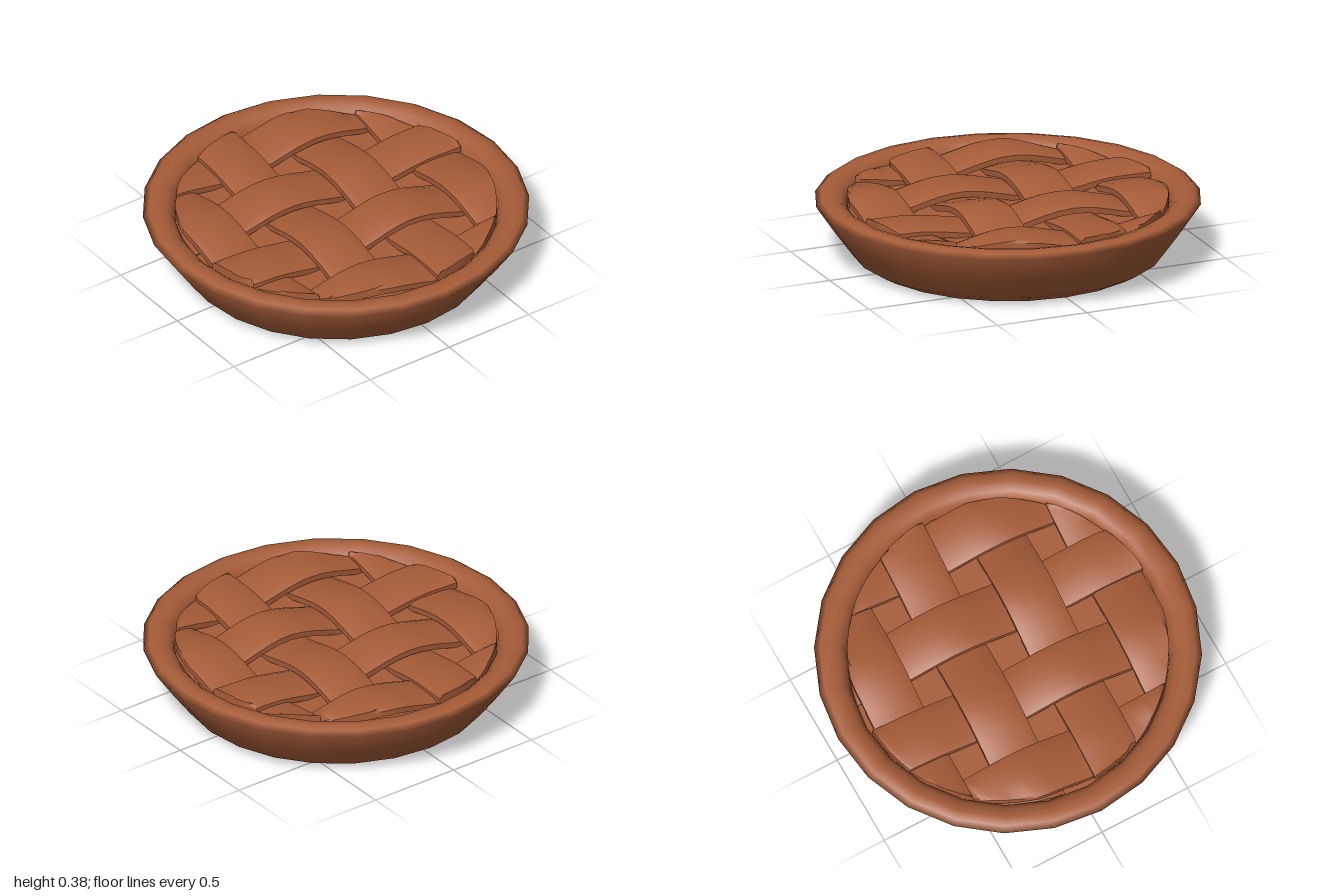
import * as THREE from 'three';
import { toCreasedNormals } from 'three/addons/utils/BufferGeometryUtils.js';

const CENTRES = [-0.66, -0.22, 0.23, 0.67]; // strip centre lines, same in both directions
const HALF = 0.14;                          // half width of a strip
const INNER = 0.825;                        // radius the lattice is trimmed to
const SEGMENTS = 24;

// Height of a woven strip at distance t along its length
function weave(t, isOver, peak) {
  const level = j => {
    const outer = j === 0 || j === 3;
    return isOver(j) ? (outer ? 0.335 : peak) : 0.285;
  };
  if (t <= CENTRES[0]) return level(0);
  for (let j = 0; j < 3; j++) {
    if (t <= CENTRES[j + 1]) {
      const u = (t - CENTRES[j]) / (CENTRES[j + 1] - CENTRES[j]);
      return THREE.MathUtils.lerp(level(j), level(j + 1), 0.5 - 0.5 * Math.cos(Math.PI * u));
    }
  }
  return level(3);
}

// One pastry strip: a soft cross-section swept along the weave and trimmed to the round rim
function stripGeometry(centre, alongX, isOver, peak) {
  const section = [[-1, -0.045], [-1, -0.014], [-0.75, 0], [0, 0.004], [0.75, 0], [1, -0.014], [1, -0.045]];
  const n = section.length, steps = 36;
  const inside = Math.abs(centre) - HALF;
  const length = Math.sqrt(INNER * INNER - inside * inside) - 0.002;
  const positions = [], index = [];
  for (let i = 0; i <= steps; i++) {
    const t = length * Math.sin((i / steps - 0.5) * Math.PI);
    const limit = Math.sqrt(INNER * INNER - t * t);
    const y = weave(t, isOver, peak);
    for (const [across, dy] of section) {
      const p = THREE.MathUtils.clamp(centre + across * HALF, -limit, limit);
      positions.push(alongX ? t : p, y + dy, alongX ? p : t);
    }
  }
  const face = (a, b, c) => alongX ? index.push(a, b, c) : index.push(a, c, b);
  for (let i = 0; i < steps; i++) {
    for (let k = 0; k < n; k++) {
      const k2 = (k + 1) % n;
      const a = i * n + k, b = i * n + k2, c = a + n, d = b + n;
      face(a, b, c);
      face(b, d, c);
    }
  }
  // End caps
  const last = steps * n;
  for (let k = 1; k < n - 1; k++) {
    face(0, k + 1, k);
    face(last, last + k, last + k + 1);
  }
  const geometry = new THREE.BufferGeometry();
  geometry.setAttribute('position', new THREE.Float32BufferAttribute(positions, 3));
  geometry.setIndex(index);
  return toCreasedNormals(geometry, 0.8);
}

export function createModel() {
  const pie = new THREE.Group();
  pie.name = 'pie';
  const crust = new THREE.MeshStandardMaterial({ color: 0xa65c38 });
  crust.name = 'baked crust';

  const add = (parent, name, geometry) => {
    const mesh = new THREE.Mesh(geometry, crust);
    mesh.name = name;
    parent.add(mesh);
    return mesh;
  };

  // Sloping shell and rounded rim, turned as one profile
  const profile = [
    [0.735, 0], [0.805, 0.04], [0.9, 0.17], [0.995, 0.31],
    [0.965, 0.333], [0.92, 0.344], [0.87, 0.33], [0.838, 0.3], [0.825, 0.25],
  ].map(([r, y]) => new THREE.Vector2(r, y));
  add(pie, 'shellAndRim', new THREE.LatheGeometry(profile, SEGMENTS));

  // Flat underside
  add(pie, 'base', new THREE.CircleGeometry(0.735, SEGMENTS).rotateX(Math.PI / 2));

  // Filling seen between the strips
  add(pie, 'filling', new THREE.CircleGeometry(0.83, SEGMENTS).rotateX(-Math.PI / 2))
    .position.y = 0.262;

  // Woven lattice, turned slightly
  const lattice = new THREE.Group();
  lattice.name = 'lattice';
  lattice.rotation.y = -0.04;
  pie.add(lattice);
  CENTRES.forEach((centre, i) => {
    add(lattice, `lengthwiseStrip${i + 1}`,
      stripGeometry(centre, false, j => (i + j) % 2 === 1, 0.358));
    add(lattice, `crosswiseStrip${i + 1}`,
      stripGeometry(centre, true, j => (i + j) % 2 === 0, i === 2 ? 0.374 : 0.358));
  });
  return pie;
}
